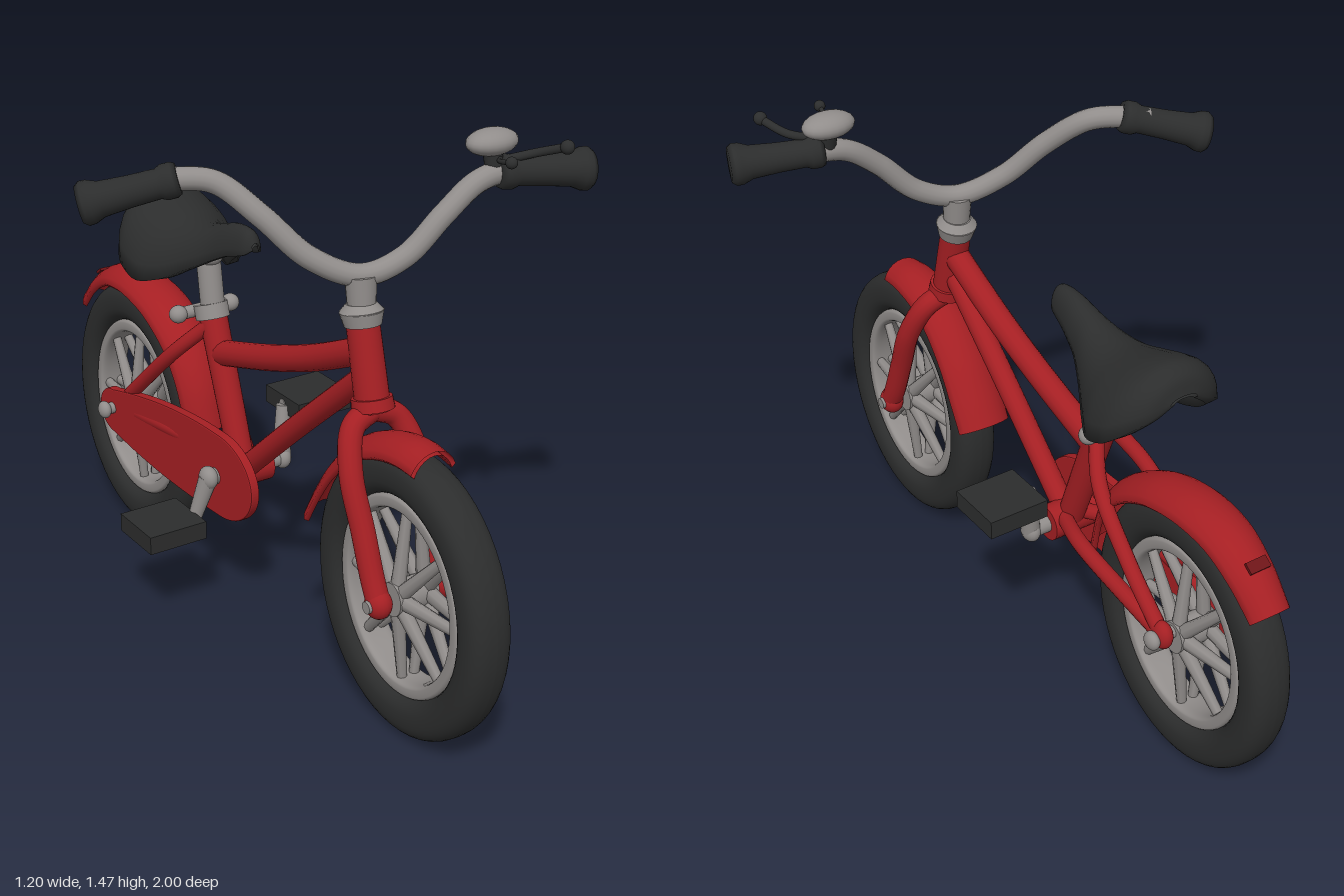
import * as THREE from 'three';

const red = new THREE.MeshStandardMaterial({ color: 0xa51f23, side: THREE.DoubleSide });
const black = new THREE.MeshStandardMaterial({ color: 0x2c2d2d, side: THREE.DoubleSide });
const grey = new THREE.MeshStandardMaterial({ color: 0x918d8b });
const darkRed = new THREE.MeshStandardMaterial({ color: 0x6e1518 });
red.name = 'red paint'; black.name = 'black rubber'; grey.name = 'grey metal'; darkRed.name = 'dark red reflector';

const CX = -0.018; // middle plane of the bike
const V = (x, y, z) => new THREE.Vector3(x, y, z);

function part(parent, name, geometry, material) {
  const mesh = new THREE.Mesh(geometry, material);
  mesh.name = name;
  parent.add(mesh);
  return mesh;
}

// smooth bent tube through points
function tube(parent, name, points, r, material) {
  const curve = new THREE.CatmullRomCurve3(points.map(p => V(...p)));
  return part(parent, name, new THREE.TubeGeometry(curve, points.length * 8, r, 14), material);
}

// lathe or cylinder set between two points
function place(mesh, a, b) {
  const d = V(...b).sub(V(...a));
  mesh.quaternion.setFromUnitVectors(V(0, 1, 0), d.normalize());
  mesh.position.set(...a);
  return mesh;
}
function rod(parent, name, a, b, r0, r1, material, sides = 16) {
  const len = V(...a).distanceTo(V(...b));
  const geo = new THREE.CylinderGeometry(r1, r0, len, sides).translate(0, len / 2, 0);
  return place(part(parent, name, geo, material), a, b);
}
function ball(parent, name, p, sx, sy, sz, material) {
  const mesh = part(parent, name, new THREE.SphereGeometry(1, 20, 14).scale(sx, sy, sz), material);
  mesh.position.set(...p);
  return mesh;
}

// skin over closed cross-sections
function loft(sections) {
  const n = sections[0].length, pos = [], idx = [];
  sections.forEach(s => s.forEach(p => pos.push(p.x, p.y, p.z)));
  for (let i = 0; i < sections.length - 1; i++) {
    for (let j = 0; j < n; j++) {
      const a = i * n + j, b = i * n + (j + 1) % n;
      idx.push(a, a + n, b, b, a + n, b + n);
    }
  }
  const g = new THREE.BufferGeometry();
  g.setAttribute('position', new THREE.Float32BufferAttribute(pos, 3));
  g.setIndex(idx);
  g.computeVertexNormals();
  return g;
}

// wheel: tyre, rim, hub and paired spokes, taller than long
function wheel(parent, name, z) {
  const g = new THREE.Group();
  g.name = name;
  const ring = (r, a, b, p) => {
    const pts = [];
    for (let i = 0; i <= 28; i++) {
      const t = i / 28 * Math.PI * 2, c = Math.cos(t), s = Math.sin(t);
      pts.push(new THREE.Vector2(r + a * Math.sign(c) * Math.abs(c) ** p, b * Math.sign(s) * Math.abs(s) ** p));
    }
    return new THREE.LatheGeometry(pts, 56).rotateZ(-Math.PI / 2);
  };
  part(g, 'tyre', ring(0.288, 0.053, 0.062, 0.8), black);
  part(g, 'rim', ring(0.224, 0.018, 0.045, 0.5), grey);
  rod(g, 'hub', [-0.06, 0, 0], [0.06, 0, 0], 0.04, 0.04, grey, 20);
  for (let i = 0; i < 8; i++) {
    const a = i * Math.PI / 4, c = Math.cos(a), s = Math.sin(a);
    for (const side of [-1, 1])
      rod(g, 'spoke', [side * 0.04, 0.02 * c, 0.02 * s], [side * 0.018, 0.215 * c, 0.215 * s], 0.02, 0.013, grey, 8);
  }
  g.scale.y = 1.13;
  g.position.set(CX, 0.39, z);
  parent.add(g);
}

// arched mudguard following [z, y, halfWidth] from front to back
function fender(parent, name, pts) {
  const curve = new THREE.CatmullRomCurve3(pts.map(p => V(p[2], p[1], p[0])));
  const sections = [], N = 10, span = 1.25;
  for (let i = 0; i <= 36; i++) {
    const p = curve.getPoint(i / 36), t = curve.getTangent(i / 36);
    const l = Math.hypot(t.y, t.z), ny = -t.z / l, nz = t.y / l, sec = [];
    const add = (a, inset) => {
      const x = (p.x - inset) * Math.sin(a) / Math.sin(span), h = -0.07 * (1 - Math.cos(a)) - inset;
      sec.push(V(CX + x, p.y + ny * h, p.z + nz * h));
    };
    for (let j = 0; j <= N; j++) add(span * (1 - 2 * j / N), 0);
    for (let j = 0; j <= N; j++) add(span * (2 * j / N - 1), 0.01);
    sections.push(sec);
  }
  part(parent, name, loft(sections), red);
}

function saddle(parent) {
  // z, crown height, half width, edge height
  const st = [
    [-0.055, 1.09, 0.012, 1.07], [-0.075, 1.118, 0.03, 1.055], [-0.14, 1.12, 0.043, 1.035], [-0.21, 1.1, 0.058, 1.0],
    [-0.28, 1.08, 0.09, 0.96], [-0.35, 1.078, 0.13, 0.92], [-0.42, 1.095, 0.165, 0.905], [-0.49, 1.118, 0.168, 0.93],
    [-0.54, 1.125, 0.145, 0.97], [-0.575, 1.105, 0.1, 1.01], [-0.59, 1.06, 0.04, 1.045]];
  const crown = new THREE.CatmullRomCurve3(st.map(s => V(s[0], s[1], 0)));
  const edge = new THREE.CatmullRomCurve3(st.map(s => V(s[2], s[3], 0)));
  const sections = [], N = 14;
  for (let i = 0; i <= 44; i++) {
    const c = crown.getPoint(i / 44), e = edge.getPoint(i / 44), sec = [], h = c.y - e.y;
    for (let j = 0; j <= N; j++) {
      const a = Math.PI / 2 * (1 - 2 * j / N);
      sec.push(V(CX + e.x * Math.sin(a), e.y + h * Math.cos(a) ** 0.9, c.x));
    }
    for (let j = 0; j <= N; j++) {
      const a = Math.PI / 2 * (2 * j / N - 1);
      sec.push(V(CX + e.x * 0.72 * Math.sin(a), e.y + h * (0.62 * Math.cos(a) - 0.02), c.x));
    }
    sections.push(sec);
  }
  part(parent, 'saddle', loft(sections), black);
}

export function createModel() {
  const bike = new THREE.Group();
  bike.name = 'bicycle';

  wheel(bike, 'frontWheel', 0.66);
  wheel(bike, 'rearWheel', -0.662);
  fender(bike, 'frontFender', [[0.735, 0.81, 0.066], [0.66, 0.815, 0.07], [0.56, 0.795, 0.072], [0.46, 0.745, 0.076],
    [0.37, 0.655, 0.08], [0.31, 0.565, 0.083], [0.265, 0.485, 0.083]]);
  fender(bike, 'rearFender', [[-0.275, 0.46, 0.07], [-0.31, 0.59, 0.075], [-0.38, 0.7, 0.08], [-0.5, 0.78, 0.082],
    [-0.6, 0.81, 0.082], [-0.69, 0.818, 0.08], [-0.8, 0.8, 0.075], [-0.9, 0.742, 0.068], [-0.98, 0.665, 0.06]]);
  const reflector = part(bike, 'reflector', new THREE.BoxGeometry(0.06, 0.008, 0.03), darkRed);
  reflector.position.set(CX, 0.75, -0.892);
  reflector.rotation.x = -0.62;

  // frame
  rod(bike, 'headTube', [CX, 0.82, 0.485], [CX, 1.04, 0.432], 0.045, 0.042, red, 24);
  rod(bike, 'lowerCollar', [CX, 0.825, 0.484], [CX, 0.855, 0.477], 0.055, 0.052, red, 24);
  tube(bike, 'topTube', [[CX, 0.96, 0.43], [CX, 0.865, 0.22], [CX, 0.795, 0.03], [CX, 0.715, -0.23]], 0.036, red);
  tube(bike, 'downTube', [[CX, 0.9, 0.45], [CX, 0.66, 0.17], [CX, 0.42, -0.1]], 0.031, red);
  rod(bike, 'seatTube', [CX, 0.41, -0.125], [CX, 0.84, -0.285], 0.036, 0.04, red, 24);
  rod(bike, 'bottomBracket', [CX - 0.07, 0.41, -0.115], [CX + 0.07, 0.41, -0.115], 0.05, 0.05, red, 24);
  for (const s of [-1, 1]) {
    const X = d => CX + s * d;
    tube(bike, 'seatStay', [[X(0.02), 0.79, -0.265], [X(0.075), 0.69, -0.36], [X(0.092), 0.55, -0.51], [X(0.092), 0.415, -0.66]], 0.021, red);
    tube(bike, 'chainStay', [[X(0.03), 0.43, -0.14], [X(0.08), 0.455, -0.29], [X(0.092), 0.44, -0.48], [X(0.092), 0.415, -0.66]], 0.022, red);
    ball(bike, 'rearDropout', [X(0.092), 0.415, -0.66], 0.025, 0.04, 0.035, red);
    tube(bike, 'forkLeg', [[X(0.0), 0.825, 0.482], [X(0.065), 0.795, 0.492], [X(0.1), 0.7, 0.535], [X(0.1), 0.56, 0.592],
      [X(0.1), 0.45, 0.635], [X(0.1), 0.395, 0.662]], 0.031, red);
    ball(bike, 'forkEnd', [X(0.1), 0.393, 0.662], 0.034, 0.04, 0.038, red);
    rod(bike, 'frontAxleNut', [X(0.1), 0.393, 0.662], [X(0.138), 0.393, 0.662], 0.02, 0.016, grey);
  }
  rod(bike, 'rearAxle', [-0.17, 0.41, -0.66], [0.115, 0.41, -0.66], 0.017, 0.017, grey);
  ball(bike, 'rearAxleCap', [-0.165, 0.41, -0.66], 0.018, 0.026, 0.026, grey);
  ball(bike, 'rearAxleCap', [0.105, 0.41, -0.66], 0.018, 0.026, 0.026, grey);

  // seat
  rod(bike, 'seatPost', [CX, 0.8, -0.27], [CX, 1.0, -0.3], 0.034, 0.034, grey, 20);
  rod(bike, 'seatCollar', [CX, 0.805, -0.275], [CX, 0.845, -0.288], 0.048, 0.048, grey, 20);
  rod(bike, 'seatClampBolt', [-0.105, 0.82, -0.315], [0.06, 0.82, -0.315], 0.018, 0.018, grey);
  for (const x of [-0.105, 0.062]) ball(bike, 'seatClampEnd', [x, 0.82, -0.315], 0.026, 0.025, 0.026, grey);
  ball(bike, 'saddleClamp', [CX, 0.985, -0.31], 0.045, 0.035, 0.06, grey);
  saddle(bike);

  // chain guard on the right side
  const shape = new THREE.Shape();
  shape.absellipse(0.1, 0.415, 0.155, 0.12, Math.PI / 2, Math.PI * 1.5, false);
  shape.quadraticCurveTo(0.4, 0.285, 0.66, 0.335);
  shape.absellipse(0.66, 0.4, 0.07, 0.065, -Math.PI / 2, Math.PI / 2, false);
  shape.quadraticCurveTo(0.35, 0.545, 0.1, 0.535);
  const guard = part(bike, 'chainGuard', new THREE.ExtrudeGeometry(shape, {
    depth: 0.018, bevelSize: 0.004, bevelThickness: 0.005, bevelSegments: 2, curveSegments: 24 }).rotateY(Math.PI / 2), red);
  guard.position.x = -0.103;
  guard.rotation.y = 0.045;

  // cranks and pedals
  rod(bike, 'crankAxle', [-0.15, 0.41, -0.115], [0.118, 0.41, -0.115], 0.024, 0.024, grey);
  for (const [x0, x1, y, px] of [[0.105, 0.122, 0.56, 0.212], [-0.135, -0.17, 0.285, -0.265]]) {
    rod(bike, 'crank', [x0, 0.41, -0.115], [x1, y, -0.135], 0.027, 0.019, grey);
    ball(bike, 'crankBoss', [x0, 0.41, -0.115], 0.025, 0.033, 0.033, grey);
    rod(bike, 'pedalAxle', [x1, y, -0.14], [px, y, -0.14], 0.014, 0.014, grey);
    part(bike, 'pedal', new THREE.BoxGeometry(0.175, 0.052, 0.167), black).position.set(px, y, -0.142);
  }

  // steering, turned towards the right
  rod(bike, 'headsetCup', [CX, 1.03, 0.434], [CX, 1.065, 0.427], 0.047, 0.056, grey, 24);
  rod(bike, 'headsetCap', [CX, 1.065, 0.427], [CX, 1.085, 0.424], 0.056, 0.038, grey, 24);
  rod(bike, 'stem', [CX, 1.06, 0.428], [CX, 1.155, 0.42], 0.035, 0.04, grey, 20);
  tube(bike, 'handlebar', [[-0.44, 1.383, 0.13], [-0.37, 1.392, 0.17], [-0.3, 1.383, 0.215], [-0.22, 1.305, 0.295], [-0.13, 1.205, 0.365],
    [-0.018, 1.155, 0.42], [0.09, 1.19, 0.45], [0.19, 1.285, 0.47], [0.28, 1.35, 0.475], [0.36, 1.367, 0.48], [0.43, 1.365, 0.5]], 0.029, grey);
  const grip = [[0, 0], [0.038, 0], [0.044, 0.012], [0.044, 0.035], [0.037, 0.05], [0.039, 0.12], [0.044, 0.19],
    [0.054, 0.215], [0.055, 0.232], [0.046, 0.244], [0, 0.246]].map(p => new THREE.Vector2(...p));
  for (const [a, b] of [[[-0.375, 1.393, 0.17], [-0.575, 1.335, 0.06]], [[0.345, 1.367, 0.478], [0.58, 1.357, 0.555]]])
    place(part(bike, 'grip', new THREE.LatheGeometry(grip, 24), black), a, b);

  // bell and brake lever
  ball(bike, 'bell', [0.335, 1.442, 0.462], 0.073, 0.034, 0.05, grey);
  rod(bike, 'bellMount', [0.335, 1.37, 0.475], [0.335, 1.43, 0.465], 0.022, 0.026, black);
  tube(bike, 'brakeLever', [[0.36, 1.4, 0.49], [0.42, 1.415, 0.525], [0.46, 1.44, 0.592]], 0.011, black);
  tube(bike, 'bellLever', [[0.34, 1.405, 0.49], [0.305, 1.415, 0.53], [0.288, 1.43, 0.592]], 0.006, black);
  ball(bike, 'leverKnob', [0.46, 1.441, 0.595], 0.018, 0.018, 0.018, black);
  ball(bike, 'bellLeverKnob', [0.288, 1.431, 0.595], 0.015, 0.015, 0.015, black);
  return bike;
}
